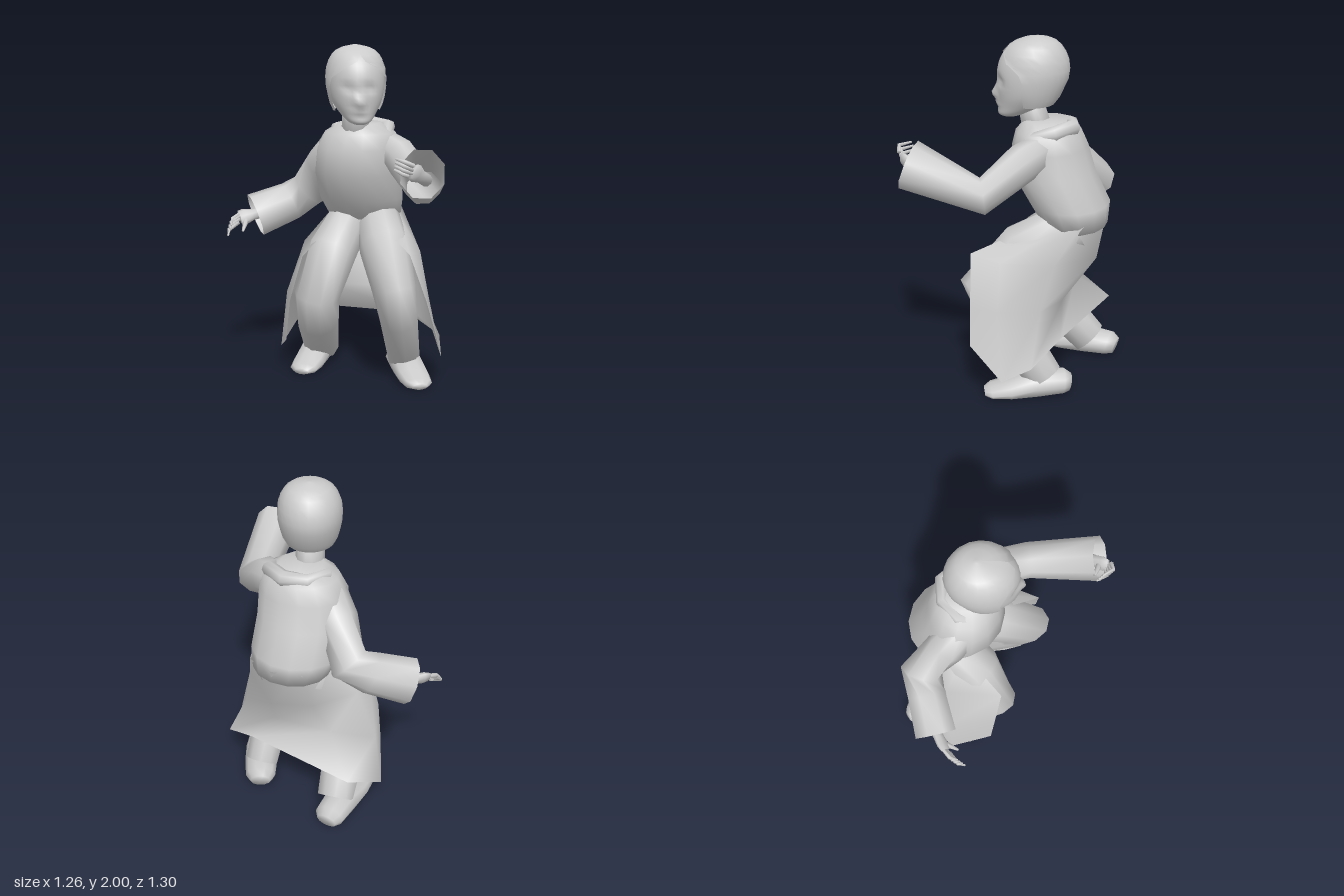
import * as THREE from 'three';

const V = (p) => new THREE.Vector3(p[0], p[1], p[2]);

export function createModel() {
  const model = new THREE.Group();
  const material = new THREE.MeshStandardMaterial({ color: 0xcccccc, side: THREE.DoubleSide });

  // Skin a list of cross-sections (rows of Vector3) into one smooth mesh
  function skin(name, rows, { closed = true, capStart = false, capEnd = false } = {}) {
    const n = rows[0].length, pos = [], idx = [];
    rows.forEach((r) => r.forEach((p) => pos.push(p.x, p.y, p.z)));
    for (let i = 0; i < rows.length - 1; i++) {
      for (let j = 0; j < (closed ? n : n - 1); j++) {
        const k = (j + 1) % n;
        const a = i * n + j, b = i * n + k, c = a + n, d = b + n;
        idx.push(a, b, c, b, d, c);
      }
    }
    const cap = (row, flip) => {
      const mid = rows[row].reduce((s, p) => s.add(p), new THREE.Vector3()).divideScalar(n);
      const m = pos.length / 3;
      pos.push(mid.x, mid.y, mid.z);
      for (let j = 0; j < n; j++) {
        const a = row * n + j, b = row * n + ((j + 1) % n);
        flip ? idx.push(b, a, m) : idx.push(a, b, m);
      }
    };
    if (capStart) cap(0, true);
    if (capEnd) cap(rows.length - 1, false);
    const g = new THREE.BufferGeometry();
    g.setAttribute('position', new THREE.Float32BufferAttribute(pos, 3));
    g.setIndex(idx);
    g.computeVertexNormals();
    const mesh = new THREE.Mesh(g, material);
    mesh.name = name;
    model.add(mesh);
    return mesh;
  }

  // Limb along a path of [x, y, z, ru, rv]; rv is measured along ref
  function limb(name, path, ref, opts = {}) {
    const { sides = 8, turn = 0, floor = -1 } = opts;
    const pts = path.map(V), R = V(ref).normalize();
    const rows = path.map((p, i) => {
      const t = new THREE.Vector3();
      if (i > 0) t.add(pts[i].clone().sub(pts[i - 1]).normalize());
      if (i < pts.length - 1) t.add(pts[i + 1].clone().sub(pts[i]).normalize());
      t.normalize();
      const u = R.clone().cross(t).normalize(), v = t.clone().cross(u);
      return Array.from({ length: sides }, (_, j) => {
        const a = turn + (j / sides) * Math.PI * 2;
        const q = pts[i].clone()
          .addScaledVector(u, p[3] * Math.cos(a))
          .addScaledVector(v, (p[4] ?? p[3]) * Math.sin(a));
        q.y = Math.max(q.y, floor);
        return q;
      });
    });
    return skin(name, rows, opts);
  }

  // Torso: yawed rings [cx, y, cz, rx, rz] from shoulders to waist
  const yaw = 0.35;
  const torso = [
    [0.16, 1.545, -0.19, 0.12, 0.13], [0.16, 1.49, -0.19, 0.21, 0.18],
    [0.15, 1.4, -0.2, 0.25, 0.21], [0.15, 1.25, -0.22, 0.26, 0.235],
    [0.19, 1.08, -0.31, 0.255, 0.225], [0.22, 0.96, -0.34, 0.22, 0.18],
  ].map(([cx, y, cz, rx, rz]) => Array.from({ length: 14 }, (_, j) => {
    const a = (j / 14) * Math.PI * 2, x = rx * Math.cos(a), z = rz * Math.sin(a);
    return new THREE.Vector3(
      cx + x * Math.cos(yaw) - z * Math.sin(yaw), y, cz + x * Math.sin(yaw) + z * Math.cos(yaw));
  }));
  skin('torso', torso, { capStart: true, capEnd: true });

  // Collar folded round the back of the neck
  limb('collar', [
    [0.0, 1.47, -0.14, 0.03], [0.03, 1.5, -0.25, 0.04], [0.13, 1.51, -0.32, 0.04],
    [0.25, 1.52, -0.31, 0.045], [0.33, 1.51, -0.2, 0.045], [0.29, 1.47, -0.07, 0.03],
  ], [0, 1, 0], { capStart: true, capEnd: true });

  // Coat skirt, open at the front, from waist down to the pointed hem
  const skirt = [
    [[0.24, 0.97, -0.16], [0.4, 0.97, -0.2], [0.45, 1.0, -0.33], [0.32, 1.04, -0.5],
      [0.15, 1.04, -0.53], [0.02, 0.98, -0.4], [0.02, 0.95, -0.24]],
    [[0.36, 0.84, 0.255], [0.46, 0.82, 0.1], [0.47, 0.8, -0.2], [0.33, 0.78, -0.45],
      [0.1, 0.78, -0.47], [-0.15, 0.8, -0.37], [-0.21, 0.78, -0.05]],
    [[0.46, 0.56, 0.265], [0.51, 0.55, 0.12], [0.51, 0.54, -0.12], [0.33, 0.52, -0.26],
      [0.0, 0.52, -0.38], [-0.26, 0.48, -0.38], [-0.28, 0.5, -0.1]],
    [[0.52, 0.35, 0.27], [0.6, 0.16, 0.1], [0.63, 0.25, -0.06], [0.47, 0.35, -0.24],
      [-0.1, 0.33, -0.6], [-0.3, 0.13, -0.38], [-0.3, 0.25, -0.13]],
  ].map((r) => r.map(V));
  skin('coatSkirt', skirt, { closed: false });

  // Trousers
  limb('leftTrouserLeg', [
    [0.29, 0.97, -0.33, 0.15, 0.13], [0.28, 0.82, -0.04, 0.16, 0.15], [0.29, 0.62, 0.16, 0.155, 0.125],
    [0.34, 0.42, 0.07, 0.13, 0.115], [0.43, 0.09, -0.15, 0.11, 0.1],
  ], [1, 0, 0], { sides: 10, capStart: true, capEnd: true, floor: 0.03 });
  limb('rightTrouserLeg', [
    [0.14, 0.95, -0.34, 0.15, 0.13], [-0.01, 0.77, -0.18, 0.15, 0.15], [-0.12, 0.53, -0.09, 0.14, 0.135],
    [-0.09, 0.34, -0.24, 0.13, 0.13], [-0.03, 0.09, -0.47, 0.11, 0.11],
  ], [1, 0, 0], { sides: 10, capStart: true, capEnd: true, floor: 0.03 });

  // Shoes: rings from heel to toe, flattened on the ground
  function shoe(name, heel, toe) {
    const rings = [[0, 0.05, 0.06, 0.05], [0.08, 0.06, 0.09, 0.07], [0.4, 0.06, 0.1, 0.085],
      [0.7, 0.035, 0.1, 0.055], [0.92, 0.025, 0.085, 0.035], [1, 0.02, 0.045, 0.02]];
    limb(name, rings.map(([t, y, w, h]) => [
      THREE.MathUtils.lerp(heel[0], toe[0], t), y, THREE.MathUtils.lerp(heel[1], toe[1], t), w, h,
    ]), [0, 1, 0], { sides: 10, floor: 0, capStart: true, capEnd: true });
  }
  shoe('leftShoe', [0.43, -0.3], [0.45, 0.19]);
  shoe('rightShoe', [0.02, -0.63], [-0.2, -0.19]);

  // Wide sleeves, open at the cuffs
  limb('leftSleeve', [
    [0.27, 1.42, -0.18, 0.09, 0.1], [0.36, 1.36, -0.03, 0.1, 0.11],
    [0.45, 1.21, 0.19, 0.105, 0.1], [0.34, 1.36, 0.58, 0.125, 0.14],
  ], [0, 1, 0], { capStart: true, turn: Math.PI / 8 });
  limb('rightSleeve', [
    [0.03, 1.42, -0.2, 0.1, 0.1], [-0.04, 1.28, -0.33, 0.11, 0.11],
    [-0.1, 1.1, -0.49, 0.12, 0.12], [-0.22, 1.03, -0.48, 0.115, 0.12], [-0.44, 0.955, -0.455, 0.125, 0.135],
  ], [0, 1, 0], { capStart: true, turn: Math.PI / 8 });

  // Hands: flat palm, four curled fingers and a thumb
  function hand(side, wrist, knuckle, mid, tip, across, thumbTip) {
    const W = V(wrist), K = V(knuckle), A = V(across).normalize();
    const back = W.clone().lerp(K, -0.8);
    limb(side + 'Palm', [[...back.toArray(), 0.03, 0.035], [...wrist, 0.028, 0.035],
      [...W.clone().lerp(K, 0.6).toArray(), 0.026, 0.05], [...knuckle, 0.016, 0.045]],
    across, { capStart: true, capEnd: true });
    for (let i = 0; i < 4; i++) {
      const off = A.clone().multiplyScalar((i - 1.5) * 0.023);
      const joint = (p, r, s) => [...V(p).addScaledVector(off, s).toArray(), r];
      limb(side + 'Finger', [joint(knuckle, 0.013, 1), joint(mid, 0.012, 1.1), joint(tip, 0.006, 1)],
        across, { sides: 6, capStart: true, capEnd: true });
    }
    const root = W.clone().lerp(K, 0.4);
    limb(side + 'Thumb', [[...root.toArray(), 0.018],
      [...root.clone().lerp(V(thumbTip), 0.55).toArray(), 0.015], [...thumbTip, 0.007]],
    across, { sides: 6, capStart: true, capEnd: true });
  }
  hand('left', [0.34, 1.34, 0.55], [0.28, 1.38, 0.615], [0.23, 1.4, 0.615], [0.2, 1.41, 0.55],
    [0, 0.9, 0.4], [0.23, 1.39, 0.53]);
  hand('right', [-0.46, 0.96, -0.44], [-0.54, 0.95, -0.41], [-0.6, 0.92, -0.37], [-0.61, 0.89, -0.33],
    [0.3, 0.7, -0.5], [-0.53, 0.88, -0.34]);

  // Neck
  limb('neck', [[0.11, 1.64, -0.09, 0.075], [0.12, 1.48, -0.13, 0.085]], [0, 0, 1],
    { sides: 10, capStart: true, capEnd: true });

  // Head profile [y, cz, rx, rz] from crown to chin
  const profile = [
    [2.0, -0.13, 0.01, 0.01], [1.98, -0.125, 0.085, 0.09], [1.94, -0.115, 0.13, 0.145],
    [1.87, -0.108, 0.158, 0.185], [1.78, -0.1, 0.162, 0.195], [1.69, -0.08, 0.145, 0.17],
    [1.62, -0.04, 0.105, 0.125], [1.575, 0.01, 0.065, 0.075], [1.558, 0.02, 0.03, 0.04],
  ];
  const place = new THREE.CatmullRomCurve3(profile.map((p) => V([p[0], p[1], 0])), false, 'catmullrom');
  const size = new THREE.CatmullRomCurve3(profile.map((p) => V([p[2], p[3], 0])), false, 'catmullrom');
  const cx = 0.115, faceX = 0.1;
  const bump = (dx, dy, w, h) => Math.exp(-((dx / w) ** 2) - (dy / h) ** 2);
  const headRows = [];
  for (let i = 0; i <= 32; i++) {
    const c = place.getPoint(i / 32), s = size.getPoint(i / 32);
    headRows.push(Array.from({ length: 36 }, (_, j) => {
      const a = (j / 36) * Math.PI * 2;
      const p = new THREE.Vector3(cx + s.x * Math.cos(a), c.x, c.y + s.y * Math.sin(a));
      if (Math.sin(a) > 0) {
        const dx = p.x - faceX;
        p.z += 0.04 * bump(dx, p.y - 1.685, 0.025, 0.035) + 0.012 * bump(dx, p.y - 1.63, 0.045, 0.012)
          - 0.022 * bump(Math.abs(dx) - 0.06, p.y - 1.765, 0.035, 0.025);
      }
      return p;
    }));
  }
  skin('head', headRows, { capStart: true, capEnd: true });

  // Hair shell: full on the crown, parting around the face lower down
  const hairRows = [];
  for (let i = 0; i <= 10; i++) {
    const t = 0.02 + (i / 10) * 0.71;
    const c = place.getPoint(t), s = size.getPoint(t);
    const gap = THREE.MathUtils.smoothstep(t, 0.25, 0.5) * 1.25;
    const drop = Math.max(0, t - 0.6);
    hairRows.push(Array.from({ length: 19 }, (_, j) => {
      const a = Math.PI / 2 + gap + (j / 18) * (Math.PI * 2 - 2 * gap);
      return new THREE.Vector3(
        cx + (s.x * 1.05 + 0.004 + drop * 0.1) * Math.cos(a), c.x,
        c.y - drop * 0.3 + (s.y * 1.03 + 0.003) * Math.sin(a));
    }));
  }
  skin('hair', hairRows, { closed: false });

  return model;
}
